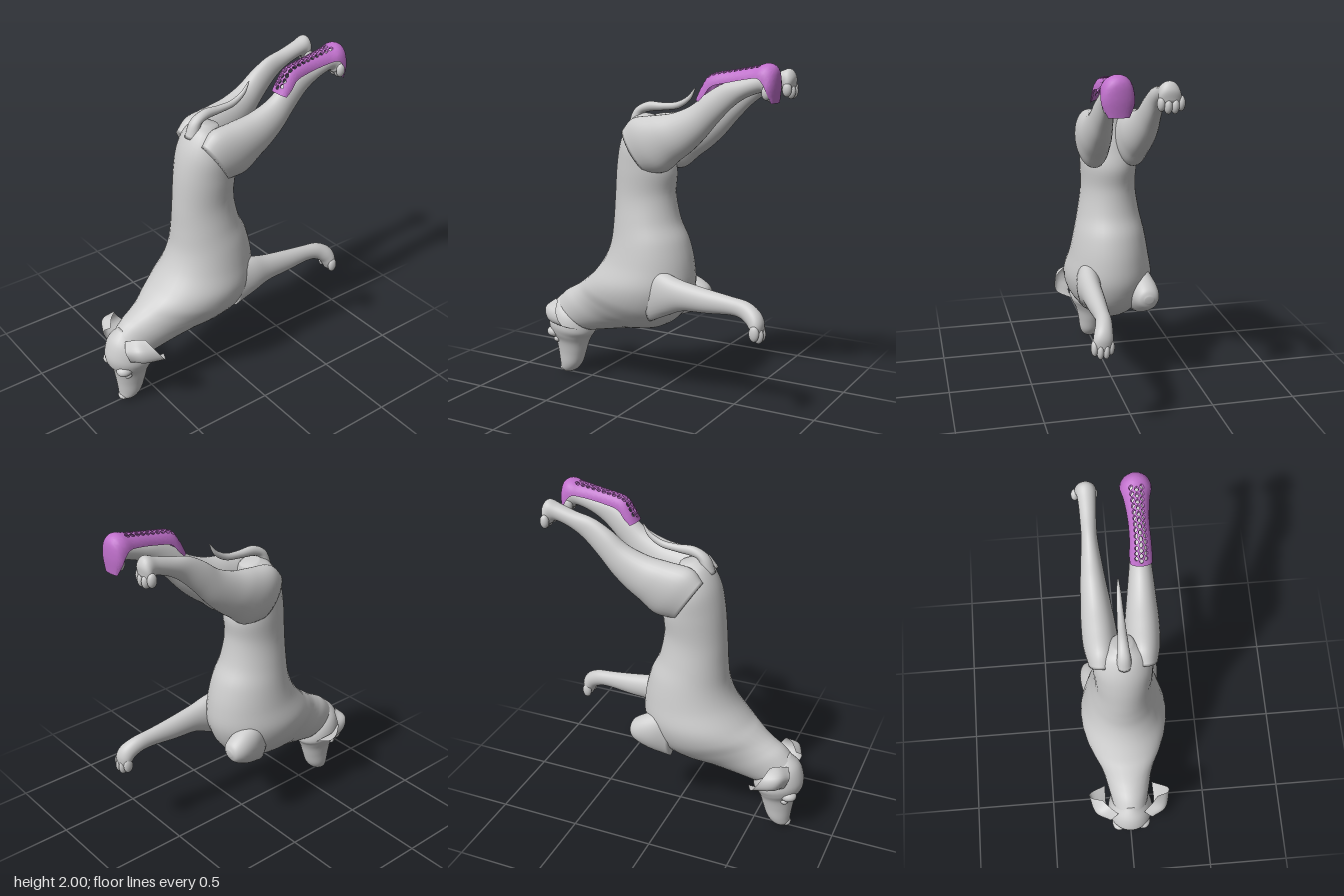
import * as THREE from 'three';
import { mergeVertices, toCreasedNormals } from 'three/addons/utils/BufferGeometryUtils.js';

const grey = new THREE.MeshStandardMaterial({ color: 0xcccccc });
const greyThin = new THREE.MeshStandardMaterial({ color: 0xcccccc, side: THREE.DoubleSide });
const purple = new THREE.MeshStandardMaterial({ color: 0xc070cc, side: THREE.DoubleSide });

const curve = pts => new THREE.CatmullRomCurve3(pts, false, 'catmullrom', 0.5);

// Smooth curves through rows of [z1, y1, z2, y2, halfWidth, centreX]
function rails(rows) {
  return {
    a: curve(rows.map(r => new THREE.Vector3(0, r[1], r[0]))),
    b: curve(rows.map(r => new THREE.Vector3(0, r[3], r[2]))),
    w: curve(rows.map((r, i) => new THREE.Vector3(r[4], r[5] || 0, i))),
  };
}

// Closed elliptical loft between two side outlines, with rounded-off ends
function loft(rows, side = 1, seg = 32) {
  const { a, b, w } = rails(rows);
  const n = (rows.length - 1) * 6, pos = [], index = [];
  for (let i = -1; i <= n + 1; i++) {
    const t = Math.min(Math.max(i / n, 0), 1), size = i < 0 || i > n ? 0 : 1;
    const p = a.getPoint(t), q = b.getPoint(t), s = w.getPoint(t);
    const c = p.clone().add(q).multiplyScalar(0.5), h = p.sub(q).multiplyScalar(0.5 * size);
    for (let k = 0; k < seg; k++) {
      const f = k / seg * Math.PI * 2, co = Math.cos(f);
      pos.push(side * s.y + Math.sin(f) * s.x * size, c.y + h.y * co, c.z + h.z * co);
    }
  }
  for (let i = 0; i < n + 2; i++) for (let k = 0; k < seg; k++) {
    const p = i * seg + k, q = i * seg + (k + 1) % seg;
    index.push(p, p + seg, q, q, p + seg, q + seg);
  }
  const g = new THREE.BufferGeometry();
  g.setAttribute('position', new THREE.Float32BufferAttribute(pos, 3));
  g.setIndex(index);
  g.computeVertexNormals();
  return g;
}

// Thin flap through a grid of control points
function flap(rows) {
  const across = rows.map(r => curve(r.map(p => new THREE.Vector3(...p))));
  const n = 14, pos = [], index = [];
  for (let j = 0; j <= n; j++) {
    const along = curve(across.map(c => c.getPoint(j / n)));
    for (let i = 0; i <= n; i++) pos.push(...along.getPoint(i / n).toArray());
  }
  for (let j = 0; j < n; j++) for (let i = 0; i < n; i++) {
    const p = j * (n + 1) + i, q = p + n + 1;
    index.push(p, p + 1, q, p + 1, q + 1, q);
  }
  const g = new THREE.BufferGeometry();
  g.setAttribute('position', new THREE.Float32BufferAttribute(pos, 3));
  g.setIndex(index);
  g.computeVertexNormals();
  return g;
}

// Arched shell made of staggered tiles, the middle ones pierced by hexagons
function perforatedShell(rows, thickness) {
  const { a, b, w } = rails(rows), tilesU = 22, tilesV = 7, pos = [];
  const point = (u, v, inner) => {
    u = Math.min(Math.max(u, 0), 1);
    const t = a.getUtoTmapping(u), s = w.getPoint(t), e = b.getPoint(t);
    const h = a.getPoint(t).sub(e), f = v * Math.PI / 2;
    const rim = Math.min(1, 12 * Math.min(u, 1 - u), 8 * (1 - Math.abs(v)));
    const d = inner ? thickness * rim : 0;
    h.setLength(h.length() - d).multiplyScalar(Math.cos(f));
    return [s.y + Math.sin(f) * (s.x - d), e.y + h.y, e.z + h.z];
  };
  const quad = (p, q, r, s) => pos.push(...p, ...q, ...r, ...q, ...s, ...r);
  for (let j = 0; j < tilesV; j++) for (let i = 0; i <= tilesU; i++) {
    const cu = i + (j % 2 ? 0 : 0.5), cv = j + 0.5;
    if (cu > tilesU) continue;
    const hole = Math.abs(j - 3) < 2 && i > 0 && i < 14;
    const at = (x, y, inner) => point((cu + x) / tilesU, (cv + y) / tilesV * 2 - 1, inner);
    const strip = k => {
      const f = k / 16 * Math.PI * 2 + Math.PI / 4;
      const m = Math.max(Math.abs(Math.cos(f)), Math.abs(Math.sin(f)));
      const step = Math.PI / 3, g = ((f % step) + step) % step - step / 2;
      const r = hole ? 0.37 / Math.cos(g) : 0;
      // equal steps along each side of the tile
      const q = k % 4 / 4 - 0.5, sx = [-q, -0.5, q, 0.5][Math.floor(k / 4) % 4];
      const sy = [0.5, -q, -0.5, q][Math.floor(k / 4) % 4];
      const hx = Math.cos(f) * r, hy = Math.sin(f) * r;
      return m && [at(sx, sy, false), at(hx, hy, false), at(hx, hy, true), at(sx, sy, true)];
    };
    for (let k = 0; k < 16; k++) {
      const p = strip(k), q = strip(k + 1);
      for (let l = 0; l < 3; l++) if (hole || l !== 1) quad(p[l], p[l + 1], q[l], q[l + 1]);
    }
  }
  const g = new THREE.BufferGeometry();
  g.setAttribute('position', new THREE.Float32BufferAttribute(pos, 3));
  return toCreasedNormals(mergeVertices(g, 1e-5), 0.7);
}

export function createModel() {
  const model = new THREE.Group();
  const add = (name, geometry, material = grey) => {
    const mesh = new THREE.Mesh(geometry, material);
    mesh.name = name;
    model.add(mesh);
    return mesh;
  };
  const ball = (name, p, s) => {
    const m = add(name, new THREE.SphereGeometry(1, 20, 14));
    m.position.set(...p);
    m.scale.set(...s);
    return m;
  };

  // Torso and neck, rump first
  add('torso', loft([
    [0.11, 1.69, 0.0, 1.66, 0.05], [0.175, 1.655, -0.02, 1.57, 0.125], [0.235, 1.55, -0.06, 1.46, 0.165],
    [0.27, 1.40, -0.095, 1.35, 0.168], [0.287, 1.20, -0.09, 1.22, 0.163], [0.295, 1.05, -0.12, 1.07, 0.185],
    [0.312, 0.92, -0.175, 0.95, 0.212], [0.36, 0.81, -0.21, 0.80, 0.237], [0.44, 0.71, -0.21, 0.65, 0.263],
    [0.50, 0.66, -0.14, 0.50, 0.245], [0.56, 0.615, 0.0, 0.405, 0.195], [0.61, 0.585, 0.2, 0.368, 0.155],
    [0.67, 0.55, 0.36, 0.335, 0.13], [0.73, 0.49, 0.48, 0.31, 0.11],
  ]));

  // Head pointing down to the nose
  add('head', loft([
    [0.70, 0.525, 0.55, 0.45, 0.06], [0.765, 0.46, 0.50, 0.36, 0.122], [0.795, 0.37, 0.49, 0.29, 0.14],
    [0.79, 0.30, 0.515, 0.25, 0.124], [0.757, 0.235, 0.535, 0.205, 0.097], [0.74, 0.15, 0.555, 0.14, 0.08],
    [0.73, 0.07, 0.58, 0.07, 0.069], [0.725, 0.025, 0.615, 0.025, 0.052], [0.705, 0.0, 0.65, 0.005, 0.025],
  ]));
  ball('nose', [0, 0.025, 0.708], [0.035, 0.024, 0.028]);
  for (const s of [1, -1]) {
    ball('eye', [s * 0.08, 0.235, 0.708], [0.02, 0.02, 0.024]);
    ball('brow', [s * 0.075, 0.28, 0.73], [0.045, 0.035, 0.05]);
    // Ear, cupped towards the back
    add('ear', flap([
      [[0.08, 0.49, 0.72], [0.125, 0.45, 0.745], [0.135, 0.40, 0.73], [0.12, 0.355, 0.71]],
      [[0.13, 0.515, 0.68], [0.205, 0.475, 0.70], [0.215, 0.40, 0.675], [0.15, 0.35, 0.64]],
      [[0.17, 0.52, 0.635], [0.24, 0.46, 0.60], [0.245, 0.385, 0.55], [0.15, 0.345, 0.50]],
    ].map(r => r.map(([x, y, z]) => [s * x, y, z]))), greyThin);
  }

  // Tail
  add('tail', loft([
    [0.12, 1.60, 0.21, 1.62, 0.045], [0.115, 1.68, 0.17, 1.71, 0.035], [0.07, 1.70, 0.085, 1.757, 0.028],
    [-0.02, 1.71, -0.02, 1.755, 0.022], [-0.12, 1.725, -0.105, 1.762, 0.017],
    [-0.195, 1.775, -0.175, 1.795, 0.012], [-0.23, 1.845, -0.222, 1.845, 0.004],
  ], 1, 16));

  // Hind legs with splayed toes
  for (const s of [1, -1]) {
    add('hindLeg', loft([
      [0.02, 1.36, 0.18, 1.60, 0.07, 0.12], [-0.10, 1.37, 0.11, 1.67, 0.096, 0.115],
      [-0.19, 1.44, -0.02, 1.69, 0.094, 0.12], [-0.27, 1.50, -0.15, 1.71, 0.083, 0.125],
      [-0.35, 1.575, -0.27, 1.757, 0.07, 0.13], [-0.43, 1.665, -0.37, 1.83, 0.056, 0.132],
      [-0.52, 1.755, -0.47, 1.885, 0.044, 0.132], [-0.60, 1.81, -0.58, 1.91, 0.044, 0.131],
      [-0.68, 1.84, -0.68, 1.94, 0.048, 0.13], [-0.71, 1.84, -0.745, 1.96, 0.054, 0.132],
      [-0.72, 1.83, -0.778, 1.92, 0.058, 0.135], [-0.735, 1.82, -0.775, 1.86, 0.045, 0.138],
    ], s));
    [-0.05, -0.018, 0.018, 0.052].forEach((d, i) => {
      const out = i % 3 ? 0 : 0.012;
      ball('hindToe', [s * (0.14 + d), 1.835 + out, -0.758 + out], [0.022, 0.04, 0.027]);
    });
  }

  // Left foreleg and paw
  add('foreleg', loft([
    [-0.02, 0.48, 0.0, 0.80, 0.06, 0.155], [-0.15, 0.54, -0.12, 0.79, 0.07, 0.165],
    [-0.25, 0.58, -0.24, 0.757, 0.061, 0.17], [-0.40, 0.59, -0.40, 0.73, 0.053, 0.173],
    [-0.55, 0.603, -0.55, 0.71, 0.043, 0.178], [-0.62, 0.597, -0.655, 0.695, 0.045, 0.185],
    [-0.67, 0.57, -0.73, 0.655, 0.052, 0.20], [-0.695, 0.535, -0.765, 0.60, 0.055, 0.208],
    [-0.715, 0.50, -0.765, 0.53, 0.04, 0.21],
  ]));
  [-0.045, -0.016, 0.016, 0.045].forEach((d, i) => {
    const out = i % 3 ? 0 : 0.015;
    ball('foreToe', [0.21 + d, 0.525 + out, -0.745 + out], [0.02, 0.046, 0.03]);
  });

  // Rounded stump of the right foreleg
  add('forelegStump', loft([
    [0.0, 0.43, 0.02, 0.78, 0.07, -0.15], [-0.10, 0.46, -0.08, 0.73, 0.085, -0.162],
    [-0.175, 0.495, -0.17, 0.69, 0.08, -0.172], [-0.225, 0.53, -0.23, 0.65, 0.06, -0.175],
    [-0.245, 0.57, -0.25, 0.61, 0.025, -0.175],
  ]));

  // Perforated brace over the left hind leg and foot
  add('legBrace', perforatedShell([
    [-0.312, 1.80, -0.345, 1.785, 0.06, 0.133], [-0.345, 1.87, -0.38, 1.82, 0.062, 0.133],
    [-0.40, 1.935, -0.425, 1.87, 0.058, 0.134], [-0.55, 1.965, -0.53, 1.895, 0.057, 0.134],
    [-0.68, 1.988, -0.64, 1.915, 0.068, 0.134], [-0.74, 2.0, -0.70, 1.92, 0.082, 0.134],
    [-0.785, 1.97, -0.735, 1.89, 0.086, 0.134], [-0.795, 1.89, -0.755, 1.85, 0.084, 0.134],
    [-0.787, 1.79, -0.772, 1.79, 0.055, 0.134],
  ], 0.012), purple);

  return model;
}
